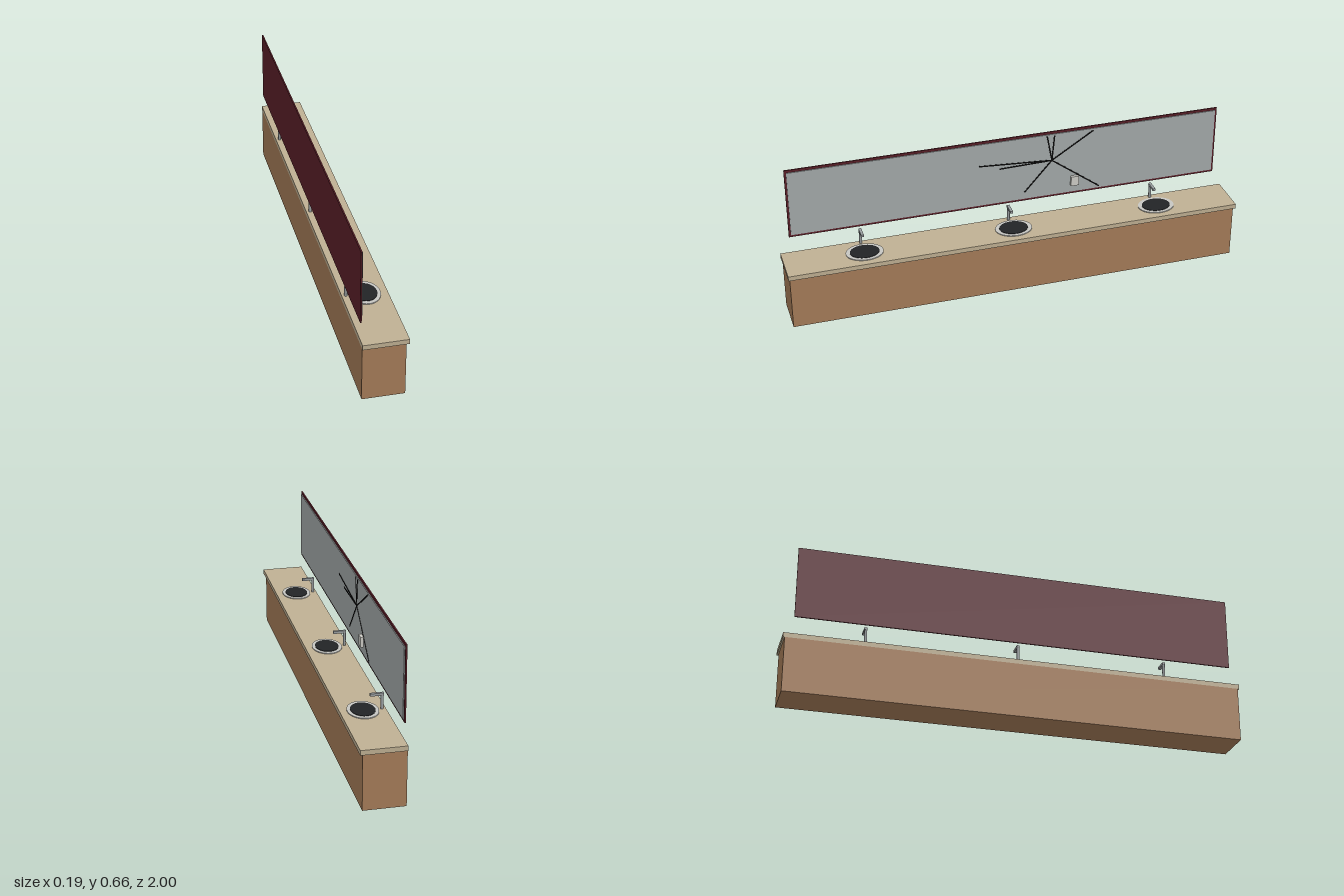
import * as THREE from 'three';

const mat = (name, color) => {
  const m = new THREE.MeshStandardMaterial({ color });
  m.name = name;
  return m;
};

export function createModel() {
  const wood = mat('cabinet wood', 0xa67d59);
  const stone = mat('counter stone', 0xbfb093);
  const maroon = mat('maroon frame', 0x5c2029);
  const glass = mat('mirror glass', 0xa5abab);
  const ceramic = mat('sink rim', 0xc6c6c2);
  const dark = mat('basin dark', 0x222426);
  const metal = mat('tap metal', 0x9a9fa1);
  const plastic = mat('dispenser plastic', 0xcfcec8);
  const black = mat('crack black', 0x0a0a0a);

  const model = new THREE.Group();
  model.name = 'washroomVanity';

  const add = (parent, name, geometry, material) => {
    const mesh = new THREE.Mesh(geometry, material);
    mesh.name = name;
    parent.add(mesh);
    return mesh;
  };
  // Box given by its two extreme corners
  const box = (parent, name, material, [x0, y0, z0], [x1, y1, z1]) => {
    const g = new THREE.BoxGeometry(x1 - x0, y1 - y0, z1 - z0);
    g.translate((x0 + x1) / 2, (y0 + y1) / 2, (z0 + z1) / 2);
    return add(parent, name, g, material);
  };
  // Flat oval disc
  const oval = (parent, name, material, rx, rz, y0, y1) => {
    const g = new THREE.CylinderGeometry(1, 1, y1 - y0, 32);
    g.scale(rx, 1, rz);
    g.translate(0, (y0 + y1) / 2, 0);
    return add(parent, name, g, material);
  };

  // Cabinet and counter
  box(model, 'cabinet', wood, [-0.094, 0, -0.993], [0.082, 0.24, 0.993]);
  box(model, 'counter', stone, [-0.094, 0.24, -1], [0.093, 0.261, 1]);

  // Three sinks, each with its tap
  for (const z of [-0.657, 0, 0.657]) {
    const station = new THREE.Group();
    station.name = 'sinkStation';
    station.position.z = z;
    model.add(station);
    oval(station, 'sinkRim', ceramic, 0.064, 0.081, 0.261, 0.2645);
    oval(station, 'basin', dark, 0.05, 0.063, 0.2645, 0.2665);
    const post = new THREE.CylinderGeometry(0.0062, 0.0062, 0.06, 16);
    post.translate(-0.0775, 0.29, 0);
    add(station, 'tapPost', post, metal);
    box(station, 'tapSpout', metal, [-0.084, 0.32, -0.006], [-0.028, 0.331, 0.006]);
  }

  // Mirror: backing frame with the glass in front of it
  box(model, 'mirrorFrame', maroon, [-0.094, 0.338, -0.958], [-0.088, 0.659, 0.958]);
  box(model, 'mirrorGlass', glass, [-0.088, 0.349, -0.949], [-0.084, 0.648, 0.949]);

  // Cracks radiating from the point of impact: end points as [z, y]
  const cracks = new THREE.Group();
  cracks.name = 'mirrorCracks';
  model.add(cracks);
  const [cz, cy] = [-0.198, 0.521];
  const ends = [
    [-0.176, 0.641], [-0.209, 0.641], [-0.385, 0.639], [-0.417, 0.357],
    [-0.305, 0.441], [-0.075, 0.382], [0.128, 0.543], [0.037, 0.516],
  ];
  for (const [z, y] of ends) {
    const dz = z - cz, dy = y - cy;
    const crack = add(cracks, 'crack', new THREE.BoxGeometry(0.0015, 0.006, Math.hypot(dz, dy)), black);
    crack.position.set(-0.0833, (y + cy) / 2, (z + cz) / 2);
    crack.rotation.x = -Math.atan2(dy, dz);
  }

  // Soap dispenser on the glass
  box(model, 'soapDispenser', plastic, [-0.084, 0.384, -0.32], [-0.071, 0.429, -0.284]);

  return model;
}
